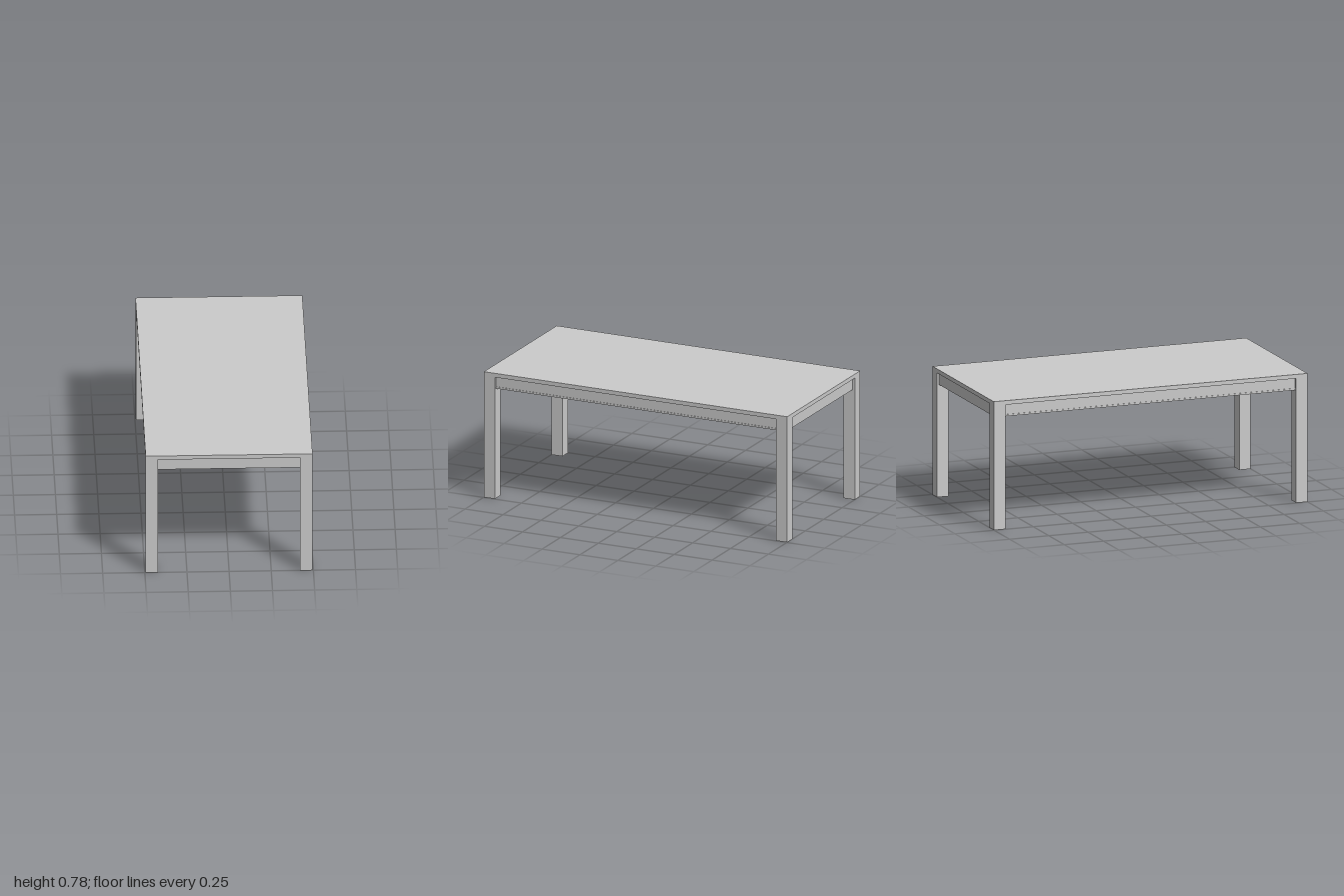
import * as THREE from 'three';

const HALF_W = 0.495, HALF_L = 1;   // table footprint
const LEG = 0.073, LEG_H = 0.757;   // square legs
const TOP_H = 0.782;
const APRON_Y = 0.684, RECESS = 0.014, LIP_H = 0.011;

export function createModel() {
  const table = new THREE.Group();
  table.name = 'table';
  const material = new THREE.MeshStandardMaterial({ color: 0xcccccc, flatShading: true });

  // Box resting on height y0, reaching up to y1
  function addBox(name, w, d, y0, y1, x = 0, z = 0) {
    const mesh = new THREE.Mesh(new THREE.BoxGeometry(w, y1 - y0, d), material);
    mesh.name = name;
    mesh.position.set(x, (y0 + y1) / 2, z);
    table.add(mesh);
  }

  // Two-layer tabletop
  const seam = 0.77;
  addBox('tabletopLower', 2 * HALF_W, 2 * HALF_L, LEG_H, seam);
  addBox('tabletopUpper', 2 * HALF_W, 2 * HALF_L, seam, TOP_H);

  // Legs flush with the tabletop corners
  for (const sx of [-1, 1]) {
    for (const sz of [-1, 1]) {
      const name = (sz > 0 ? 'front' : 'back') + (sx > 0 ? 'Left' : 'Right') + 'Leg';
      addBox(name, LEG, LEG, 0, LEG_H, sx * (HALF_W - LEG / 2), sz * (HALF_L - LEG / 2));
    }
  }

  // Aprons: recessed on the outside, flush with the legs on the inside
  const thick = LEG - RECESS;
  const inset = RECESS + thick / 2;
  const endSpan = 2 * (HALF_W - LEG), sideSpan = 2 * (HALF_L - LEG);
  for (const s of [-1, 1]) {
    addBox(s > 0 ? 'frontApron' : 'backApron', endSpan, thick, APRON_Y, LEG_H, 0, s * (HALF_L - inset));
    const side = s > 0 ? 'left' : 'right';
    addBox(side + 'Apron', thick, sideSpan, APRON_Y + LIP_H, LEG_H, s * (HALF_W - inset));
    // Slightly proud strip along the lower edge of the long aprons
    addBox(side + 'ApronLip', thick + 0.003, sideSpan, APRON_Y, APRON_Y + LIP_H, s * (HALF_W - inset + 0.0015));
  }
  return table;
}
